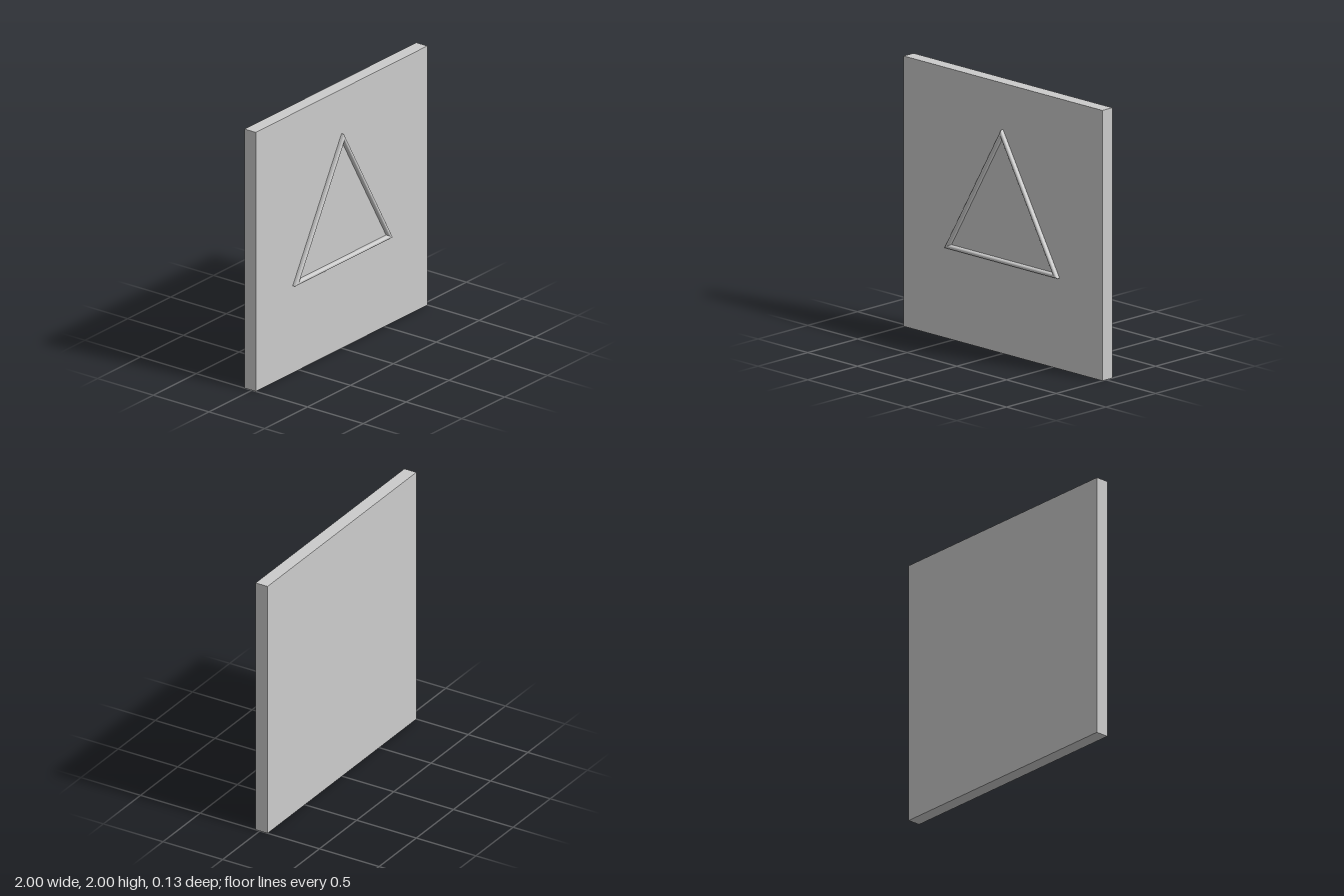
import * as THREE from 'three';
import { toCreasedNormals } from 'three/addons/utils/BufferGeometryUtils.js';

const BACK = -0.065, FACE = 0.035; // slab depth range
const RADIUS = 0.658;              // centre to outer corner of the triangle
const BEAD = 0.015;                // half width of the raised bead

export function createModel() {
  const group = new THREE.Group();
  const material = new THREE.MeshStandardMaterial({ color: 0xcccccc });

  // Square slab
  const slab = new THREE.Mesh(new THREE.BoxGeometry(2, 2, FACE - BACK), material);
  slab.name = 'slab';
  slab.position.set(0, 1, (FACE + BACK) / 2);
  group.add(slab);

  // Bead profile: straight sides and a round top; an inset of d along
  // each side moves a corner of the triangle inwards by 2d
  const profile = [new THREE.Vector2(RADIUS, 0)];
  const steps = 12;
  for (let i = 0; i <= steps; i++) {
    const a = (i / steps) * Math.PI;
    const inset = BEAD * (1 - Math.cos(a));
    profile.push(new THREE.Vector2(RADIUS - 2 * inset, BEAD * (1 + Math.sin(a))));
  }
  profile.push(new THREE.Vector2(RADIUS - 4 * BEAD, 0));

  // Three-sided turning of the profile gives a mitred triangular frame
  const frame = new THREE.LatheGeometry(profile, 3, Math.PI);
  frame.rotateX(Math.PI / 2);
  const bead = new THREE.Mesh(toCreasedNormals(frame, 0.3), material);
  bead.name = 'triangleBead';
  bead.position.set(0, 1, FACE);
  group.add(bead);

  return group;
}
